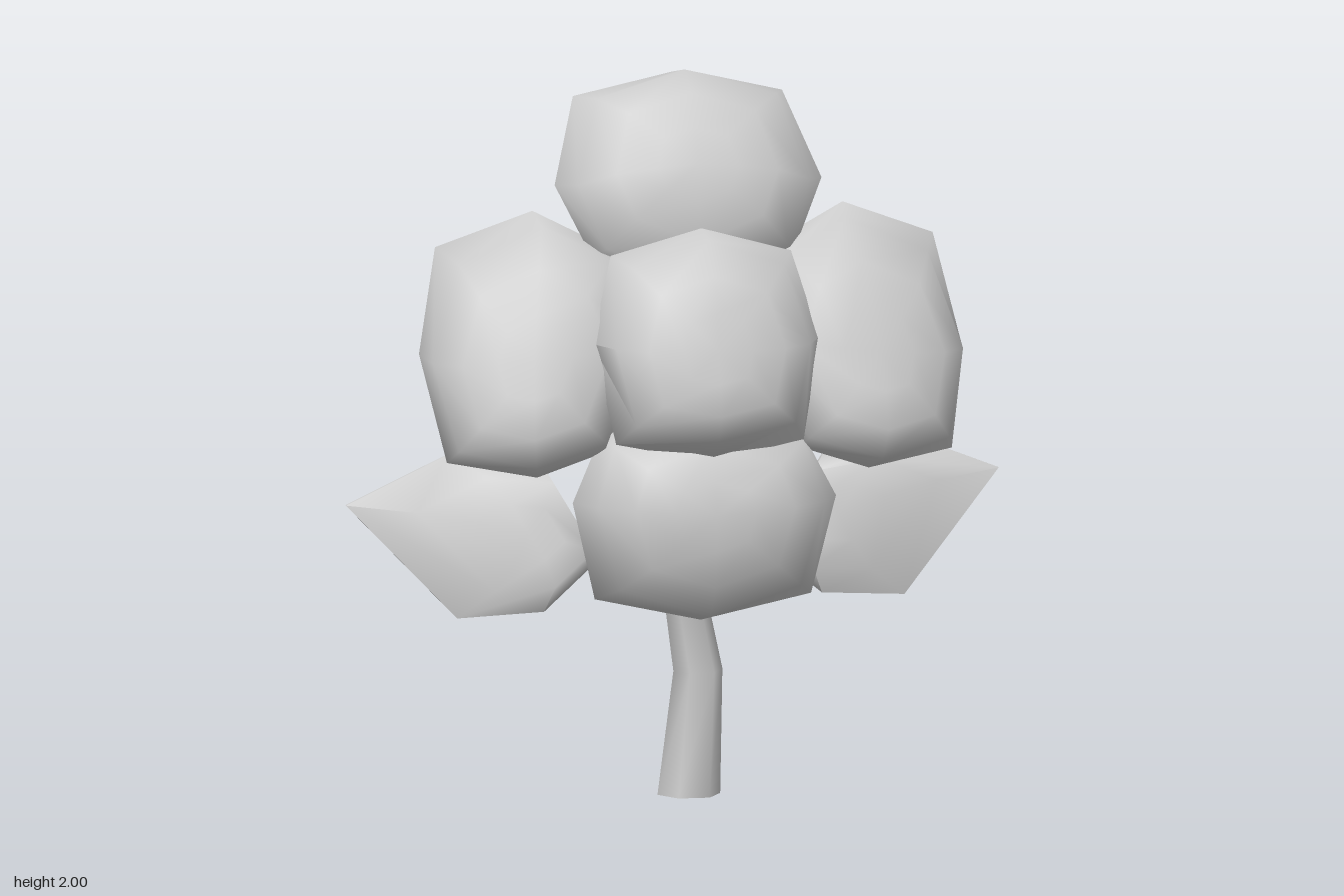
import * as THREE from 'three';
import { toCreasedNormals } from 'three/addons/utils/BufferGeometryUtils.js';

const material = new THREE.MeshStandardMaterial({ color: 0xcccccc });
const V = (p) => new THREE.Vector3(...p);

// Skin equal-sized rings of points; quads face outward for clockwise rings running front to back
function loft(name, rings) {
  const pos = [];
  const tri = (a, b, c) => {
    if (a.equals(b) || b.equals(c) || a.equals(c)) return;
    for (const p of [a, b, c]) pos.push(p.x, p.y, p.z);
  };
  for (let k = 0; k + 1 < rings.length; k++) {
    const a = rings[k], b = rings[k + 1], n = a.length;
    for (let i = 0; i < n; i++) {
      const j = (i + 1) % n;
      tri(a[i], a[j], b[j]);
      tri(a[i], b[j], b[i]);
    }
  }
  const g = new THREE.BufferGeometry();
  g.setAttribute('position', new THREE.Float32BufferAttribute(pos, 3));
  const mesh = new THREE.Mesh(toCreasedNormals(g, 1.25), material);
  mesh.name = name;
  return mesh;
}

// Domed rings between a centre point and a rim
function dome(centre, rim) {
  const mean = new THREE.Vector3();
  rim.forEach((p) => mean.addScaledVector(p, 1 / rim.length));
  const rise = centre.clone().sub(mean);
  return [0, 0.35, 0.7].map((t) => rim.map((p) =>
    centre.clone().lerp(p, t).addScaledVector(rise, t ? Math.sqrt(1 - t * t) - 1 + t : 0)));
}

// Puffy pad: front dome, rim wall, back dome
function pad(name, frontCentre, frontRim, backRim, backCentre) {
  const f = frontRim.map(V), b = backRim.map(V);
  return loft(name, [...dome(V(frontCentre), f), f, b, ...dome(V(backCentre), b).reverse()]);
}

// Complete a half outline (top to bottom on +x) to a symmetric one
const flip = ([x, y, z]) => [-x, y, z];
const whole = (half) => [...half, ...half.slice(1, -1).reverse().map(flip)];
const mirrored = (rim) => rim.map(flip).reverse();

// Tapered faceted stalk through [x, y, z, radius] points
function stalk(name, pts) {
  const sides = 6;
  const rings = pts.map((p, k) => {
    const dir = V(pts[Math.min(k + 1, pts.length - 1)].slice(0, 3))
      .sub(V(pts[Math.max(k - 1, 0)].slice(0, 3))).normalize();
    if (p[1] === 0) dir.set(0, 1, 0);
    const q = new THREE.Quaternion().setFromUnitVectors(new THREE.Vector3(0, 1, 0), dir);
    return Array.from({ length: sides }, (_, i) => {
      const a = (i / sides) * Math.PI * 2;
      return new THREE.Vector3(Math.cos(a) * p[3], 0, Math.sin(a) * p[3])
        .applyQuaternion(q).add(V(p.slice(0, 3)));
    });
  });
  const cap = (p) => Array.from({ length: sides }, () => V(p.slice(0, 3)));
  return loft(name, [cap(pts[pts.length - 1]), ...rings.reverse(), cap(pts[0])]);
}

export function createModel() {
  const flower = new THREE.Group();
  flower.name = 'flower';
  const bloom = new THREE.Group();
  bloom.name = 'bloom';
  bloom.position.x = 0.008;
  flower.add(bloom);

  // Middle of the bloom
  bloom.add(pad('centrePad', [0, 1.3, 0.31],
    whole([[0, 1.58, 0.16], [0.21, 1.51, 0.16], [0.27, 1.3, 0.23], [0.22, 1.09, 0.27], [0, 1.05, 0.31]]),
    whole([[0, 1.6, 0.06], [0.25, 1.53, 0.05], [0.315, 1.3, 0.12], [0.26, 1.03, 0.18], [0, 0.98, 0.21]]),
    [0, 1.26, 0.01]));

  // Upper petal, leaning back
  bloom.add(pad('topPetal', [0, 1.77, 0.015],
    whole([[0, 2, -0.18], [0.25, 1.93, -0.16], [0.32, 1.71, -0.05], [0.25, 1.54, 0], [0, 1.44, 0.015]]),
    whole([[0, 1.97, -0.34], [0.29, 1.92, -0.28], [0.37, 1.7, -0.13], [0.28, 1.51, -0.06], [0, 1.37, -0.06]]),
    [0, 1.69, -0.2]));

  // Lower petal
  bloom.add(pad('bottomPetal', [0, 0.84, 0.28],
    whole([[0, 1.1, 0.14], [0.26, 1.02, 0.16], [0.315, 0.86, 0.2], [0.25, 0.63, 0.19], [0, 0.55, 0.19]]),
    whole([[0, 1.17, -0.04], [0.28, 1.03, 0.05], [0.365, 0.86, 0.1], [0.3, 0.59, 0.08], [0, 0.52, 0.05]]),
    [0, 0.85, 0.025]));

  // Side petals
  const sideFront = [[0.42, 1.6, -0.06], [0.65, 1.5, -0.06], [0.735, 1.24, 0.01], [0.68, 1.01, 0.1],
    [0.48, 0.97, 0.18], [0.28, 1.03, 0.16], [0.16, 1.3, 0.08], [0.24, 1.51, 0.01]];
  const sideBack = [[0.43, 1.63, -0.14], [0.69, 1.53, -0.19], [0.75, 1.25, -0.11], [0.7, 0.97, 0.03],
    [0.46, 0.93, 0.08], [0.27, 0.99, 0.06], [0.07, 1.29, -0.06], [0.23, 1.53, -0.1]];
  const front = [0.48, 1.26, 0.15], back = [0.45, 1.27, -0.125];
  bloom.add(pad('leftPetal', front, sideFront, sideBack, back));
  bloom.add(pad('rightPetal', flip(front), mirrored(sideFront), mirrored(sideBack), flip(back)));

  // Leaves: pointed lenses with a ridged front and back
  const leaf = (name, rim, f, b) =>
    flower.add(pad(name, f, rim, rim.map(([x, y, z]) => [x, y, z - 0.01]), b));
  leaf('leftLeaf', [[0.4, 0.92, -0.23], [0.67, 0.95, -0.285], [0.9, 0.86, -0.285], [0.62, 0.535, -0.19],
    [0.38, 0.555, -0.135], [0.23, 0.68, -0.17]], [0.43, 0.77, -0.15], [0.54, 0.75, -0.265]);
  leaf('rightLeaf', mirrored([[0.38, 0.92, -0.23], [0.63, 0.94, -0.285], [0.91, 0.81, -0.285],
    [0.62, 0.505, -0.19], [0.39, 0.525, -0.135], [0.23, 0.66, -0.17]]),
    [-0.43, 0.74, -0.15], [-0.54, 0.72, -0.265]);

  // Stem and leaf stalks
  flower.add(stalk('stem', [[0.025, 0, -0.205, 0.087], [0.052, 0.34, -0.215, 0.068],
    [0.01, 0.56, -0.19, 0.058], [0, 0.8, -0.165, 0.054], [0, 1.02, -0.115, 0.054],
    [0, 1.17, -0.085, 0.047], [0, 1.28, -0.03, 0.04]]));
  for (const s of [-1, 1]) {
    flower.add(stalk(s > 0 ? 'leftLeafStalk' : 'rightLeafStalk', [[0.01, 0.55, -0.19, 0.038],
      [s * 0.13, 0.635, -0.195, 0.03], [s * 0.26, 0.69, -0.185, 0.032], [s * 0.4, 0.73, -0.21, 0.03]]));
  }
  return flower;
}
